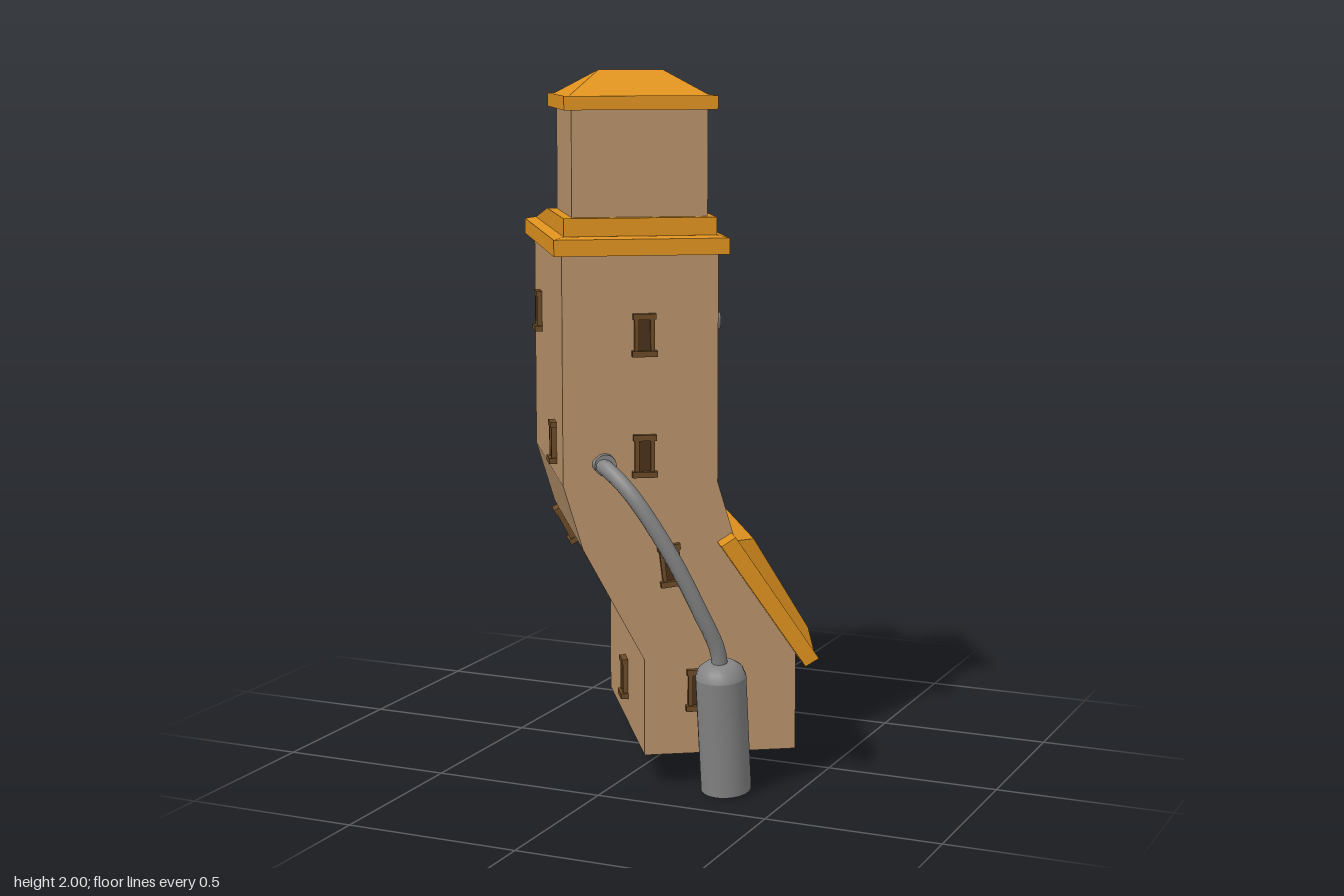
import * as THREE from 'three';

const mat = (color) => new THREE.MeshStandardMaterial({ color });
const WALL = mat(0xb8926a), ROOF = mat(0xdf921f), FRAME = mat(0x6b4a26),
  DARK = mat(0x4a3018), DOOR = mat(0x84501a), METAL = mat(0x858585);

function add(parent, name, geometry, material, x = 0, y = 0, z = 0) {
  const mesh = new THREE.Mesh(geometry, material);
  mesh.name = name;
  mesh.position.set(x, y, z);
  parent.add(mesh);
  return mesh;
}
const box = (w, h, d) => new THREE.BoxGeometry(w, h, d);

// Level rectangle and sloping rectangle, four corners each, anticlockwise from above
const rect = (y, cx, cz, hx, hz) => [
  [cx - hx, y, cz + hz], [cx + hx, y, cz + hz], [cx + hx, y, cz - hz], [cx - hx, y, cz - hz]];
const slope = (x0, y0, x1, y1, hz) => [[x0, y0, hz], [x1, y1, hz], [x1, y1, -hz], [x0, y0, -hz]];

// Flat-sided solid through a stack of four-cornered sections
function loft(rings) {
  const p = [];
  const quad = (a, b, c, d) => p.push(...a, ...b, ...c, ...a, ...c, ...d);
  for (let k = 0; k < rings.length - 1; k++) {
    const lo = rings[k], hi = rings[k + 1];
    for (let i = 0; i < 4; i++) {
      const j = (i + 1) % 4;
      quad(lo[i], lo[j], hi[j], hi[i]);
    }
  }
  quad(...[...rings[0]].reverse());
  quad(...rings[rings.length - 1]);
  const g = new THREE.BufferGeometry();
  g.setAttribute('position', new THREE.Float32BufferAttribute(p, 3));
  g.computeVertexNormals();
  return g;
}

// Small window facing +z: pane, two jambs, lintel and wider sill
function makeWindow() {
  const g = new THREE.Group();
  g.name = 'window';
  add(g, 'pane', box(0.04, 0.1, 0.012), DARK);
  for (const s of [-1, 1]) add(g, 'jamb', box(0.012, 0.1, 0.03), FRAME, s * 0.022);
  add(g, 'lintel', box(0.064, 0.016, 0.036), FRAME, 0, 0.051);
  add(g, 'sill', box(0.07, 0.016, 0.044), FRAME, 0, -0.051);
  return g;
}

const archPath = (Type, r, h) => {
  const s = new Type();
  s.moveTo(-r, 0);
  s.lineTo(r, 0);
  s.lineTo(r, h);
  s.absarc(0, h, r, 0, Math.PI, false);
  s.lineTo(-r, 0);
  return s;
};
const extrude = (shape, depth) =>
  new THREE.ExtrudeGeometry(shape, { depth, bevelEnabled: false, curveSegments: 8 });

// Arched door facing +z
function makeDoor() {
  const g = new THREE.Group();
  g.name = 'door';
  const surround = new THREE.Shape([[-0.075, 0], [0.075, 0], [0.075, 0.24], [-0.075, 0.24]]
    .map(([x, y]) => new THREE.Vector2(x, y)));
  surround.holes.push(archPath(THREE.Path, 0.06, 0.13));
  add(g, 'doorSurround', extrude(surround, 0.018), ROOF);
  const ring = archPath(THREE.Shape, 0.06, 0.13);
  ring.holes.push(archPath(THREE.Path, 0.047, 0.13));
  add(g, 'doorArch', extrude(ring, 0.024), FRAME);
  add(g, 'doorPanel', extrude(archPath(THREE.Shape, 0.05, 0.13), 0.01), DOOR);
  add(g, 'doorLintel', box(0.16, 0.03, 0.04), ROOF, 0, 0.25, 0.012);
  return g;
}

export function createModel() {
  const model = new THREE.Group();
  model.name = 'crookedTower';

  // The house is turned about its own axis: local z runs along the long side
  const house = new THREE.Group();
  house.name = 'house';
  house.position.set(-0.1165, 0, 0.0825);
  house.rotation.y = 0.574;
  model.add(house);

  // Leaning tower body: height and sideways shift of each section
  const HX = 0.2156, HZ = 0.364;
  const lean = [[0.095, 0.225], [0.37, 0.225], [0.69, 0.054], [0.87, 0], [1.52, 0]];
  add(house, 'towerBody', loft(lean.map(([y, s]) => rect(y, s, 0, HX, HZ))), WALL);

  // Main roof: eaves slab and a raised step sloping down to the back
  add(house, 'mainRoofEaves', loft([
    rect(1.505, 0, 0, 0.2405, 0.402), rect(1.55, 0, 0, 0.2405, 0.402),
    rect(1.556, 0, 0, 0.215, 0.376)]), ROOF);
  const step = rect(1.605, 0, 0.16, 0.21, 0.21);
  add(house, 'mainRoofStep', loft([rect(1.55, 0, 0.16, 0.21, 0.21), step]), ROOF);
  add(house, 'mainRoofSlope', loft([
    rect(1.55, 0, -0.21, 0.21, 0.165),
    [step[3], step[2], [0.21, 1.556, -0.375], [-0.21, 1.556, -0.375]]]), ROOF);

  // Upper tower with hipped cap
  add(house, 'upperTower', loft([rect(1.6, 0.003, 0.157, 0.187, 0.181),
    rect(1.9, 0.003, 0.157, 0.187, 0.181)]), WALL);
  add(house, 'capEaves', loft([rect(1.895, 0.003, 0.158, 0.21, 0.21),
    rect(1.933, 0.003, 0.158, 0.21, 0.21)]), ROOF);
  add(house, 'capRoof', loft([rect(1.93, 0.003, 0.158, 0.197, 0.19),
    rect(2, 0.003, 0.158, 0.09, 0.004)]), ROOF);

  // Steep side awning with a raised hipped panel
  add(house, 'awning', loft([
    slope(0.215, 0.7, 0.455, 0.35, 0.43), slope(0.255, 0.725, 0.493, 0.372, 0.43),
    slope(0.265, 0.712, 0.483, 0.388, 0.41), slope(0.322, 0.702, 0.48, 0.44, 0.345)]), ROOF);

  // End windows, the same on both short sides: x, y, tilt
  const endWindows = [[0.01, 1.285, 0], [0.01, 0.95, 0], [0.083, 0.64, 0.12], [0.16, 0.28, 0]];
  for (const side of [1, -1]) {
    for (const [x, y, tilt] of endWindows) {
      const w = makeWindow();
      w.position.set(x, y, side * HZ);
      w.rotation.set(0, side > 0 ? 0 : Math.PI, side * tilt, 'YXZ');
      house.add(w);
    }
  }

  // Windows of the long side: sideways shift, height, place along wall, tilt
  for (const [s, y, z, tilt] of [[0, 1.295, -0.19, 0], [0, 0.965, 0.18, 0],
    [0.081, 0.64, -0.26, 0.49], [0.225, 0.225, 0, 0]]) {
    const w = makeWindow();
    w.position.set(s - HX, y, z);
    w.rotation.set(tilt, -Math.PI / 2, 0, 'YXZ');
    house.add(w);
  }

  const door = makeDoor();
  door.position.set(0.34, 0.1, -HZ);
  door.rotation.y = Math.PI;
  house.add(door);

  // Vent stub on the awning side
  const vent = new THREE.Group();
  vent.name = 'vent';
  vent.position.set(HX, 1.29, 0.1);
  vent.rotation.z = -Math.PI / 2;
  house.add(vent);
  add(vent, 'ventPipe', new THREE.CylinderGeometry(0.022, 0.022, 0.04, 10), METAL, 0, 0.015);
  add(vent, 'ventCap', new THREE.CylinderGeometry(0.024, 0.033, 0.018, 10), METAL, 0, 0.042);

  // Leaning tank with chamfered shoulder
  const tankProfile = [[0, 0], [0.071, 0], [0.071, 0], [0.071, 0.335], [0.071, 0.335],
    [0.062, 0.36], [0.04, 0.376], [0, 0.376]].map(([r, y]) => new THREE.Vector2(r, y));
  const tank = add(model, 'tank', new THREE.LatheGeometry(tankProfile, 20), METAL, 0.31, 0.009, 0.318);
  tank.rotation.x = 0.122;

  // Bent pipe from the wall down to the tank
  const path = new THREE.CatmullRomCurve3([[-0.025, 0.93, 0.44], [0.02, 0.92, 0.472],
    [0.1, 0.86, 0.492], [0.2, 0.7, 0.46], [0.27, 0.53, 0.41], [0.305, 0.42, 0.372],
    [0.31, 0.36, 0.362]].map((p) => new THREE.Vector3(...p)));
  add(model, 'pipe', new THREE.TubeGeometry(path, 30, 0.022, 10), METAL);
  const flange = add(house, 'pipeFlange',
    new THREE.CylinderGeometry(0.031, 0.031, 0.03, 12), METAL, -0.1, 0.928, HZ + 0.008);
  flange.rotation.x = Math.PI / 2;

  return model;
}
